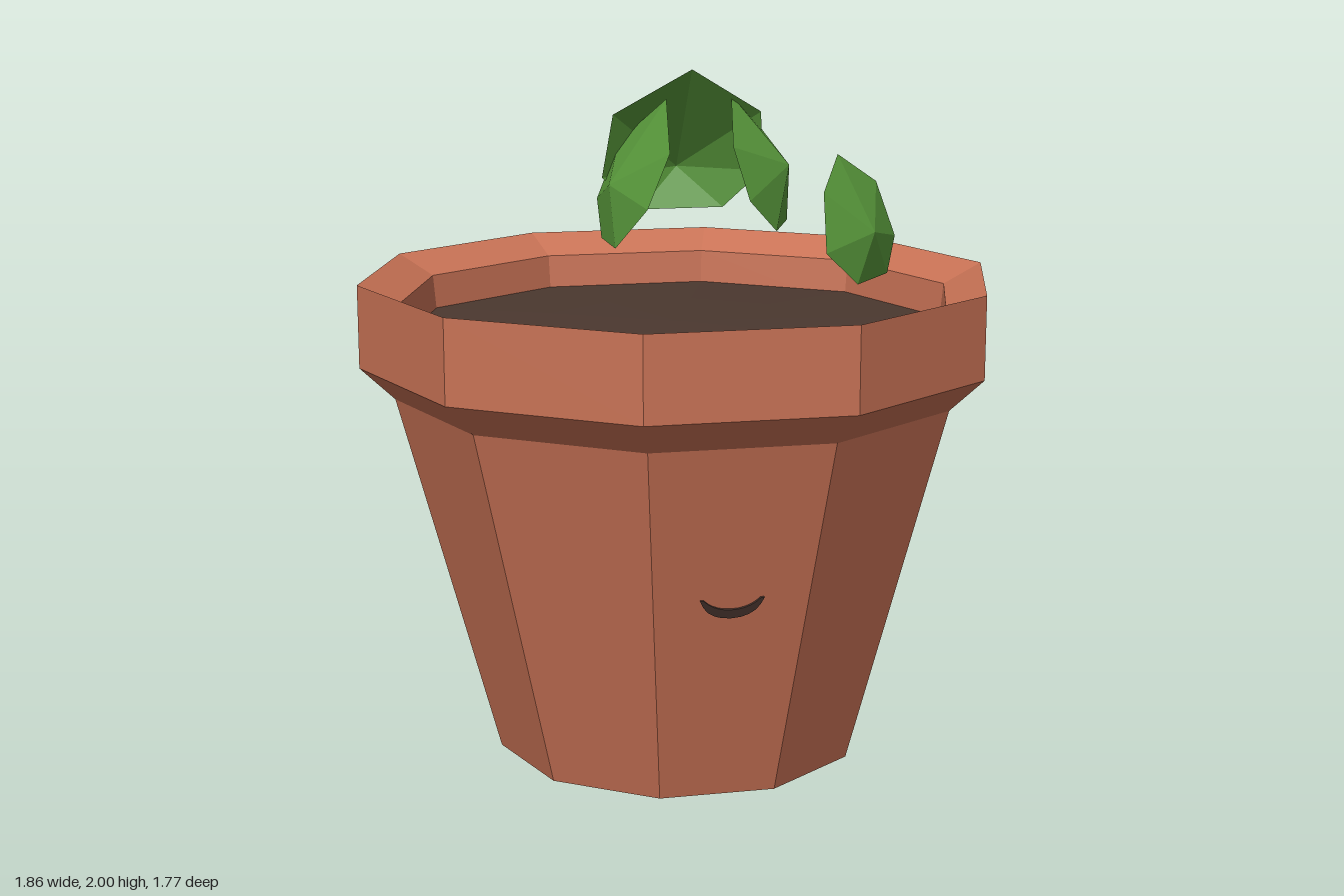
import * as THREE from 'three';

const flat = (name, color, side = THREE.FrontSide) => {
  const m = new THREE.MeshStandardMaterial({ color, flatShading: true, side });
  m.name = name;
  return m;
};

export function createModel() {
  const group = new THREE.Group();
  const terracotta = flat('terracotta', 0xc87255);
  const earth = flat('earth', 0x4b382f);
  const leafGreen = flat('leafGreen', 0x58983b, THREE.DoubleSide);
  const smileDark = flat('smileDark', 0x42312b);

  const add = (name, geometry, material) => {
    const mesh = new THREE.Mesh(geometry, material);
    mesh.name = name;
    group.add(mesh);
    return mesh;
  };

  // Ten-sided turned shape with a corner pointing along +x
  const turned = (profile) => new THREE.LatheGeometry(
    profile.map(([r, y]) => new THREE.Vector2(r, y)), 10, Math.PI / 2);

  // Pot: base, tapered body, flared rim sloping inwards, inner wall
  add('pot', turned([
    [0, 0], [0.54, 0], [0.83, 1.075], [0.93, 1.17], [0.93, 1.41],
    [0.815, 1.35], [0.8, 1.2],
  ]), terracotta);

  // Soil: shallow mound
  add('soil', turned([[0.806, 1.25], [0.42, 1.262], [0, 1.27]]), earth);

  // Smile: thin crescent lying on the sloped front face
  const crescent = new THREE.Shape();
  crescent.moveTo(-0.09, 0.03);
  crescent.quadraticCurveTo(-0.07, -0.03, 0, -0.03);
  crescent.quadraticCurveTo(0.07, -0.03, 0.09, 0.03);
  crescent.lineTo(0.08, 0.03);
  crescent.quadraticCurveTo(0.05, -0.003, 0, -0.003);
  crescent.quadraticCurveTo(-0.05, -0.003, -0.08, 0.03);
  const smile = add('smile', new THREE.ExtrudeGeometry(crescent,
    { depth: 0.006, bevelEnabled: false, curveSegments: 5 }), smileDark);
  smile.position.set(0, 0.6, 0.668);
  smile.rotation.x = Math.atan(0.257);

  // Leaf: seven-cornered cupped fan around a raised centre
  const leaf = (name, centre, rim) => {
    const pos = [];
    rim.forEach((p, i) => pos.push(...centre, ...p, ...rim[(i + 1) % rim.length]));
    const g = new THREE.BufferGeometry();
    g.setAttribute('position', new THREE.Float32BufferAttribute(pos, 3));
    g.computeVertexNormals();
    add(name, g, leafGreen);
  };

  leaf('backLeaf', [0.04, 1.7, -0.2], [
    [0.04, 2, 0.01], [0.26, 1.87, -0.05], [0.28, 1.69, -0.11], [0.17, 1.58, -0.15],
    [-0.08, 1.58, -0.15], [-0.2, 1.68, -0.12], [-0.18, 1.87, -0.05]]);
  leaf('leftSideLeaf', [0.33, 1.72, 0.01], [
    [0.17, 1.92, -0.05], [0.13, 1.79, 0.14], [0.17, 1.64, 0.18], [0.27, 1.54, 0.1],
    [0.36, 1.54, -0.12], [0.38, 1.64, -0.23], [0.3, 1.81, -0.225]]);
  leaf('rightSideLeaf', [-0.21, 1.68, 0.04], [
    [-0.04, 1.92, 0.03], [-0.14, 1.78, -0.17], [-0.2, 1.61, -0.2], [-0.21, 1.51, -0.08],
    [-0.21, 1.51, 0.13], [-0.15, 1.64, 0.29], [-0.08, 1.79, 0.26]]);
  leaf('frontLeaf', [0.5, 1.56, 0.31], [
    [0.42, 1.77, 0.2], [0.34, 1.68, 0.34], [0.33, 1.52, 0.41], [0.44, 1.42, 0.35],
    [0.58, 1.42, 0.18], [0.62, 1.52, 0.12], [0.56, 1.68, 0.12]]);

  return group;
}
